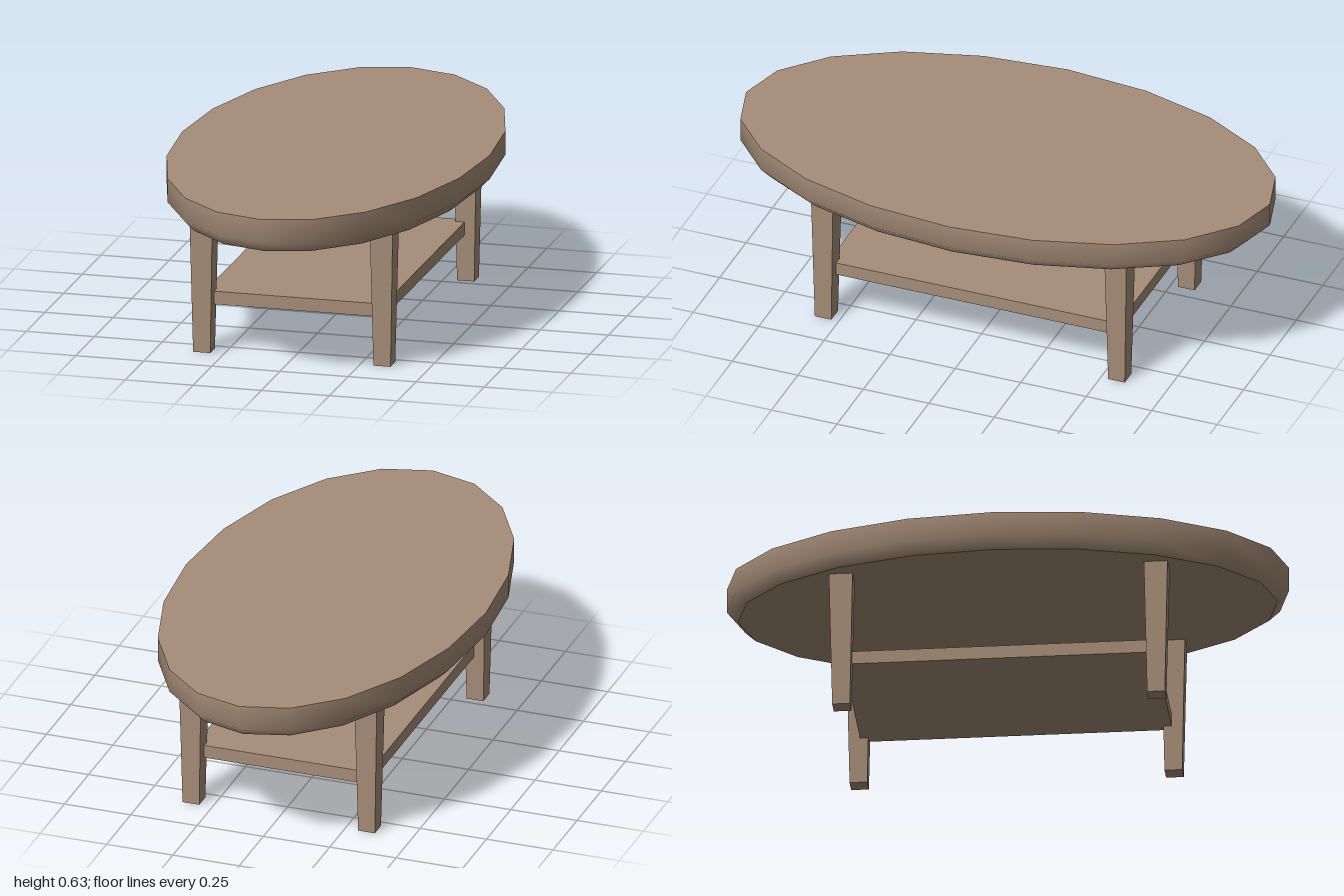
import * as THREE from 'three';
import { mergeVertices } from 'three/addons/utils/BufferGeometryUtils.js';

const RX = 0.565, RZ = 1, SIDES = 20;
const TOP_Y = 0.63, UNDER_Y = 0.503, BEVEL = 0.04;
const LEG_X = 0.331, LEG_Z = 0.56;

// Oval rim: vertical edge with a chamfer of even width underneath
function rimGeometry() {
  const profile = [[1 - BEVEL, UNDER_Y], [1, UNDER_Y + BEVEL], [1, TOP_Y]];
  let g = new THREE.LatheGeometry(profile.map(([r, y]) => new THREE.Vector2(r, y)), SIDES);
  const p = g.attributes.position;
  for (let i = 0; i < p.count; i++) {
    const r = Math.hypot(p.getX(i), p.getZ(i));
    const inset = 1 - r;
    p.setX(i, p.getX(i) / r * (RX - inset));
    p.setZ(i, p.getZ(i) / r * (RZ - inset));
  }
  g.deleteAttribute('uv');
  g.deleteAttribute('normal');
  g = mergeVertices(g);
  g.computeVertexNormals();
  return g;
}

// Flat oval face, pointing up or down
function ovalGeometry(inset, y, up) {
  return new THREE.CircleGeometry(1, SIDES)
    .rotateX(up ? -Math.PI / 2 : Math.PI / 2)
    .scale(RX - inset, 1, RZ - inset)
    .translate(0, y, 0);
}

// Square leg narrowing towards the floor
function legGeometry() {
  const g = new THREE.BoxGeometry(1, UNDER_Y, 1).translate(0, UNDER_Y / 2, 0);
  const p = g.attributes.position;
  for (let i = 0; i < p.count; i++) {
    const w = p.getY(i) > 0.1 ? 0.084 : 0.063;
    p.setX(i, p.getX(i) * w);
    p.setZ(i, p.getZ(i) * w);
  }
  g.computeVertexNormals();
  return g;
}

export function createModel() {
  const wood = new THREE.MeshStandardMaterial({ color: 0xa68d78 });
  wood.name = 'wood';
  const model = new THREE.Group();
  model.name = 'ovalTable';

  const add = (name, geometry, parent = model) => {
    const mesh = new THREE.Mesh(geometry, wood);
    mesh.name = name;
    parent.add(mesh);
    return mesh;
  };

  // Table top
  const top = new THREE.Group();
  top.name = 'tableTop';
  model.add(top);
  add('topRim', rimGeometry(), top);
  add('topSurface', ovalGeometry(0, TOP_Y, true), top);
  add('topUnderside', ovalGeometry(BEVEL, UNDER_Y, false), top);

  // Legs
  const leg = legGeometry();
  for (const [sx, side] of [[1, 'Left'], [-1, 'Right']]) {
    for (const [sz, end] of [[1, 'front'], [-1, 'back']]) {
      add(`${end}${side}Leg`, leg).position.set(sx * LEG_X, 0, sz * LEG_Z);
    }
  }

  // Lower shelf, its corners set into the legs
  add('shelf', new THREE.BoxGeometry(0.656, 0.048, 1.108)).position.y = 0.194;

  return model;
}
